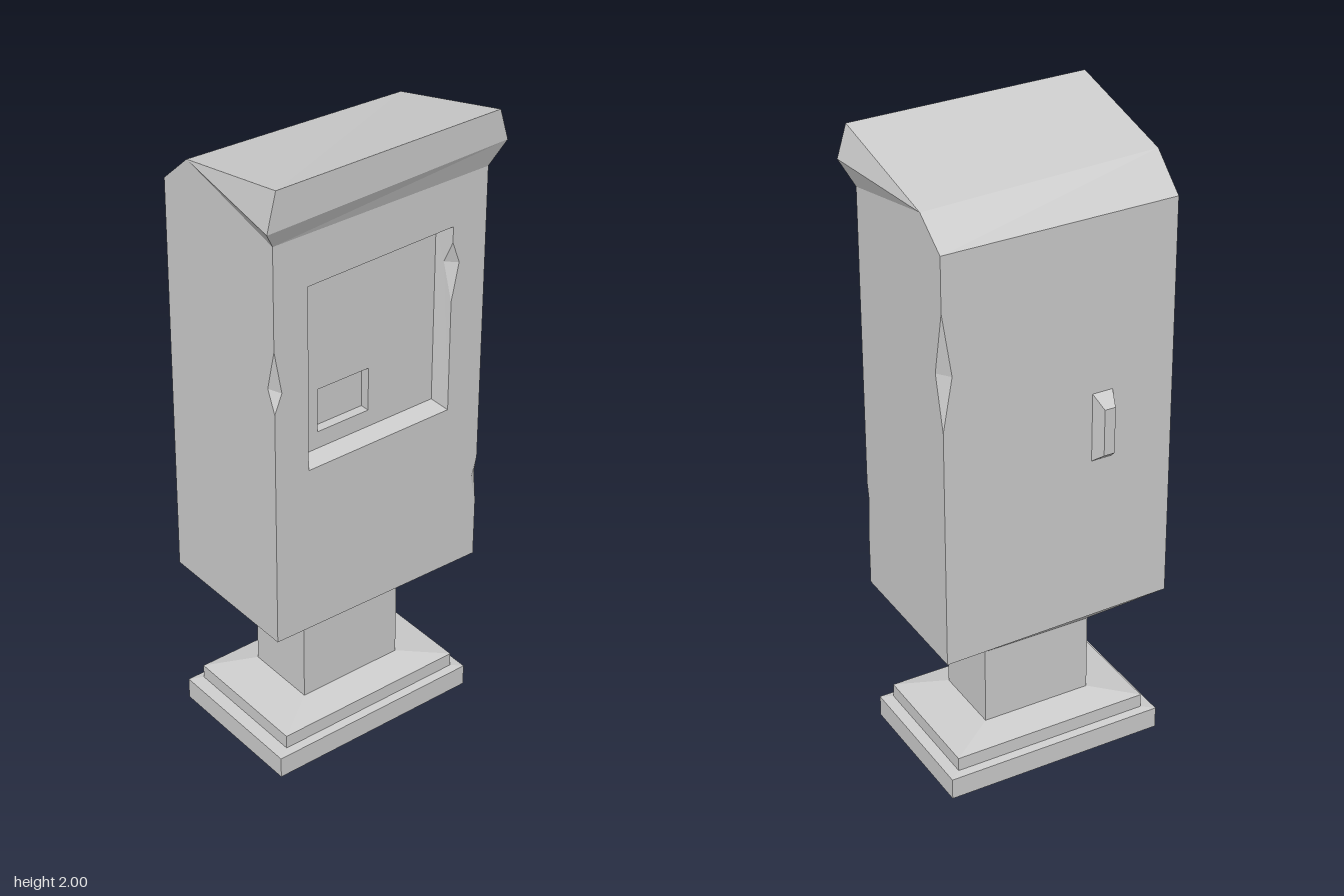
import * as THREE from 'three';

// Turns flat polygons (corners counter-clockwise seen from outside, optional holes) into one mesh
function facesMesh(name, faces) {
  const pos = [];
  for (const { outer, holes = [] } of faces) {
    const n = new THREE.Vector3();
    outer.forEach((p, i) => n.add(p.clone().cross(outer[(i + 1) % outer.length])));
    n.normalize();
    const u = outer[1].clone().sub(outer[0]);
    u.addScaledVector(n, -u.dot(n)).normalize();
    const v = n.clone().cross(u);
    const flat = (ring) => ring.map((p) => new THREE.Vector2(p.dot(u), p.dot(v)));
    const all = [outer, ...holes].flat();
    for (const [a, b, c] of THREE.ShapeUtils.triangulateShape(flat(outer), holes.map(flat))) {
      const t = [all[a], all[b], all[c]];
      const m = t[1].clone().sub(t[0]).cross(t[2].clone().sub(t[0]));
      if (m.dot(n) < 0) t.reverse();
      t.forEach((p) => pos.push(p.x, p.y, p.z));
    }
  }
  const geo = new THREE.BufferGeometry();
  geo.setAttribute('position', new THREE.Float32BufferAttribute(pos, 3));
  geo.computeVertexNormals();
  const mesh = new THREE.Mesh(geo, new THREE.MeshStandardMaterial({ color: 0xcccccc, flatShading: true }));
  mesh.name = name;
  return mesh;
}

const P = (x, y, z) => new THREE.Vector3(x, y, z);
const face = (...outer) => ({ outer });

// Side faces between successive rings
function loft(rings) {
  const out = [];
  for (let k = 0; k + 1 < rings.length; k++) {
    const a = rings[k], b = rings[k + 1];
    a.forEach((p, i) => {
      const j = (i + 1) % a.length;
      out.push(face(p, a[j], b[j], b[i]));
    });
  }
  return out;
}

// Horizontal and upright rectangles as rings
const level = (x0, x1, z0, z1, y) => [P(x0, y, z1), P(x1, y, z1), P(x1, y, z0), P(x0, y, z0)];
const upright = (x0, x1, y0, y1, z) => [P(x0, y0, z), P(x1, y0, z), P(x1, y1, z), P(x0, y1, z)];

// Chipped corner: top, bottom, left and right points seen from outside
const chip = (t, b, l, r) => [face(t, l, r), face(b, r, l)];

export function createModel() {
  const group = new THREE.Group();
  const W = 0.37, F = 0.25, B = -0.24, TOP = 1.82;

  // Stepped foot, flare and neck
  const foot = [
    level(-0.36, 0.355, -0.23, 0.245, 0),
    level(-0.36, 0.355, -0.23, 0.245, 0.07),
    level(-0.32, 0.32, -0.205, 0.22, 0.075),
    level(-0.32, 0.32, -0.205, 0.22, 0.12),
    level(-0.18, 0.175, -0.11, 0.125, 0.145),
  ];
  group.add(facesMesh('foot', [...loft(foot), face(...foot[0].slice().reverse())]));
  const neckTop = level(-0.18, 0.175, -0.11, 0.125, 0.4);
  group.add(facesMesh('neck', loft([foot[4], neckTop])));

  // Taper up to the slightly uneven cabinet bottom
  const bottom = [P(-W, 0.52, F), P(W, 0.505, F), P(W, 0.505, B), P(-W, 0.52, B)];
  const [bfl, bfr, bbr, bbl] = bottom;
  group.add(facesMesh('taper', loft([neckTop, bottom])));

  // Cabinet corners, roof ridge and chip points
  const [tfl, tfr, tbr, tbl] = level(-W, W, B, F, TOP);
  const ridgeR = P(W, 1.9, -0.13), ridgeL = P(-W, 1.92, -0.13);
  const backChip = { t: P(W, 1.65, B), b: P(W, 1.28, B), l: P(W, 1.45, -0.2), r: P(0.34, 1.45, B) };
  const leftChip = { t: P(W, 0.86, F), b: P(W, 0.7, F), l: P(0.35, 0.79, F), r: P(W, 0.8, 0.24) };
  const rightChip = { t: P(-W, 1.5, F), b: P(-W, 1.3, F), l: P(-W, 1.37, 0.22), r: P(-0.345, 1.36, F) };

  // Window opening with a chip in its edge
  const [mbl, mbr] = upright(-0.255, 0.25, 1.07, 1.67, F);
  const mtr = P(0.25, 1.67, F), mtl = P(-0.255, 1.66, F);
  const nickLow = P(0.25, 1.43, F), nickOut = P(0.275, 1.55, F), nickHigh = P(0.25, 1.62, F);
  const nickIn = P(0.243, 1.55, 0.222);

  group.add(facesMesh('cabinet', [
    {
      outer: [bfl, bfr, leftChip.b, leftChip.l, leftChip.t, tfr, tfl, rightChip.t, rightChip.r, rightChip.b],
      holes: [[mbl, mbr, nickLow, nickOut, nickHigh, mtr, mtl]],
    },
    face(bfr, bbr, backChip.b, backChip.l, backChip.t, tbr, ridgeR, tfr, leftChip.t, leftChip.r, leftChip.b),
    face(bbl, bfl, rightChip.b, rightChip.l, rightChip.t, tfl, ridgeL, tbl),
    face(bbr, bbl, tbl, tbr, backChip.t, backChip.r, backChip.b),
    ...[backChip, leftChip, rightChip].flatMap((c) => chip(c.t, c.b, c.l, c.r)),
  ]));

  // Hood with overhanging front lip
  const lipR = P(0.41, 1.9, 0.28), lipL = P(-0.41, 1.88, 0.28);
  const peakR = P(0.38, 2, 0.28), peakL = P(-0.38, 2, 0.28);
  group.add(facesMesh('hood', [
    face(lipL, lipR, peakR, peakL),
    face(tfl, tfr, lipR, lipL),
    face(tfr, ridgeR, lipR), face(lipR, ridgeR, peakR),
    face(tfl, lipL, ridgeL), face(lipL, peakL, ridgeL),
    face(peakL, peakR, ridgeR, ridgeL),
    face(ridgeL, ridgeR, tbr, tbl),
  ]));

  // Recessed window walls
  const panel = upright(-0.24, 0.235, 1.085, 1.645, 0.194);
  const [pbl, pbr, ptr, ptl] = panel;
  group.add(facesMesh('windowFrame', [
    face(mbl, mbr, pbr, pbl),
    face(mbr, nickLow, nickIn, nickHigh, mtr, ptr, pbr),
    face(mtr, mtl, ptl, ptr),
    face(mtl, mbl, pbl, ptl),
    face(nickLow, nickOut, nickIn),
    face(nickOut, nickHigh, nickIn),
  ]));

  // Panel at the back of the window, with a small sunken slot
  const slot = upright(-0.18, 0, 1.14, 1.28, 0.194);
  const slotBack = upright(-0.18, 0, 1.14, 1.28, 0.164);
  group.add(facesMesh('windowPanel', [{ outer: panel, holes: [slot] }]));
  group.add(facesMesh('slot', [...loft([slot, slotBack]), face(...slotBack)]));

  // Bevelled handle on the back
  const grip = [upright(-0.105, -0.17, 1.05, 1.27, B), upright(-0.12, -0.155, 1.085, 1.235, -0.283)];
  group.add(facesMesh('backHandle', [...loft(grip), face(...grip[1])]));

  return group;
}
